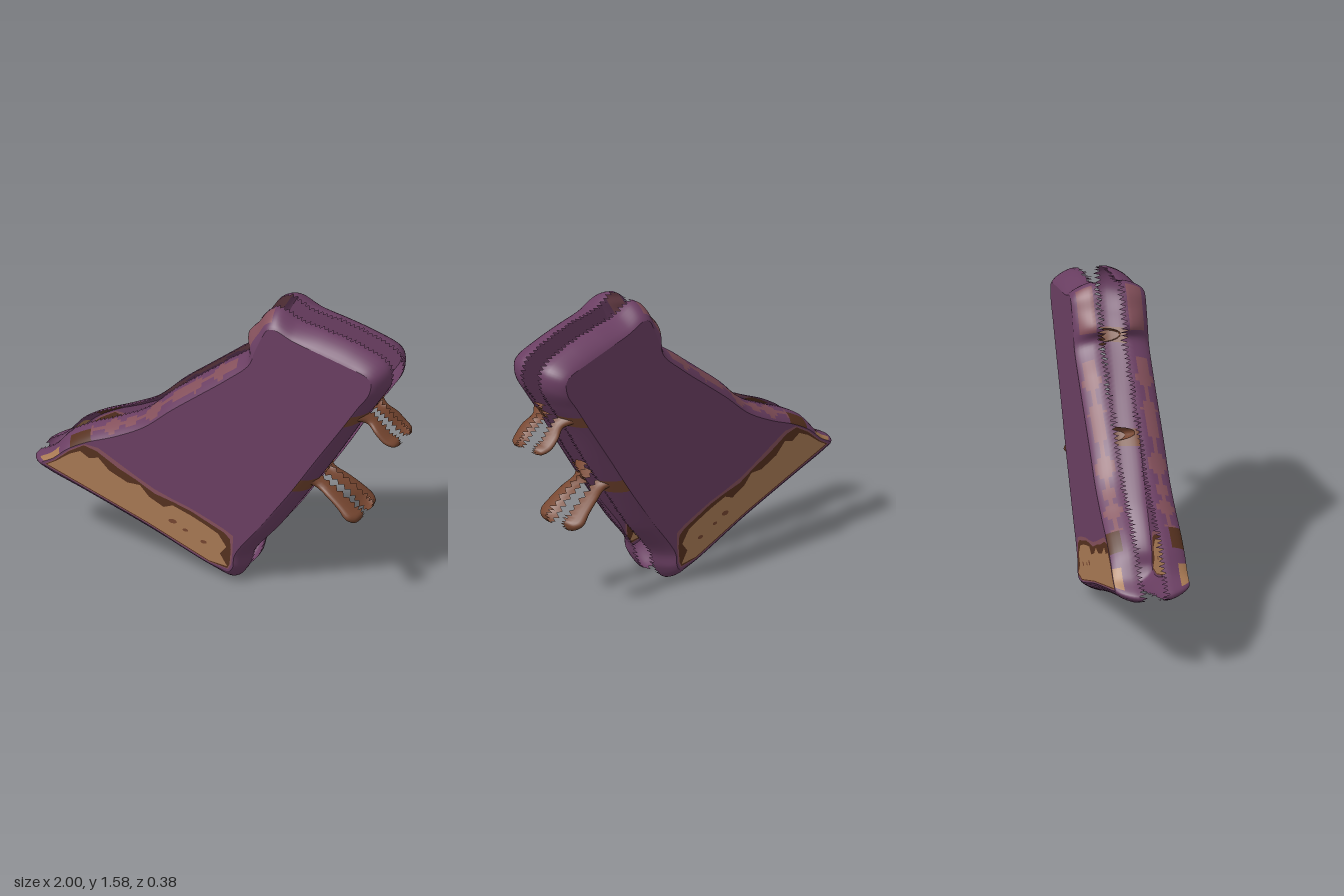
import * as THREE from 'three';

const mat = (name, color) => new THREE.MeshStandardMaterial({ name, color, side: THREE.DoubleSide });
const purple = mat('purple', 0x6b3f63);
const pink = mat('dusty pink', 0x84505b);
const dark = mat('dark brown', 0x56311f);
const tan = mat('bare tan', 0xa97a54);
const brown = mat('peg brown', 0x764630);
const sideMaterials = [purple, pink, dark, tan, brown];

// Rim outline and matching edge of the flat face: [rim x, rim y, face x, face y]
const OUTLINE = [
  [-1, .44, -.92, .46], [-.9, .51, -.86, .5], [-.81, .61, -.78, .57], [-.72, .67, -.68, .63],
  [-.55, .75, -.52, .7], [-.4, .83, -.36, .79], [-.25, .97, -.21, .92], [-.1, 1.09, -.06, 1.04],
  [.05, 1.21, .09, 1.16], [.19, 1.33, .22, 1.28], [.17, 1.4, .25, 1.36], [.23, 1.48, .29, 1.45],
  [.28, 1.55, .32, 1.5], [.34, 1.58, .36, 1.51], [.45, 1.53, .46, 1.47], [.62, 1.5, .61, 1.43],
  [.78, 1.46, .76, 1.39], [.92, 1.4, .86, 1.36], [.95, 1.36, .89, 1.33], [.95, 1.28, .88, 1.26],
  [.88, 1.16, .82, 1.17], [.79, 1.03, .73, 1.03], [.65, .8, .59, .82], [.5, .57, .44, .59],
  [.35, .35, .29, .38], [.2, .16, .14, .17], [.17, .07, .13, .1], [.11, 0, .11, .075],
  [.03, .03, .02, .09], [-.35, .18, -.34, .24], [-.7, .31, -.69, .37], [-.93, .39, -.88, .44],
];

// Nested worn areas of the flat face, each lying inside the one before
const PINK = [[-.905, .459], [-.85, .495], [-.77, .57], [-.685, .62], [-.61, .615], [-.5, .555], [-.4, .5],
  [-.3, .45], [-.2, .415], [-.1, .385], [0, .345], [.08, .31], [.132, .28], [.13, .2], [.122, .115],
  [.105, .085], [0, .103], [-.34, .246], [-.69, .376], [-.875, .444]];
const DARK = [[-.9, .459], [-.85, .49], [-.77, .562], [-.69, .612], [-.62, .595], [-.5, .525], [-.4, .48],
  [-.3, .425], [-.2, .4], [-.1, .37], [0, .325], [.08, .29], [.115, .26], [.12, .2], [.113, .115],
  [.1, .09], [0, .107], [-.34, .25], [-.69, .38], [-.87, .446]];
const TAN = [[-.89, .459], [-.84, .49], [-.77, .545], [-.71, .575], [-.66, .545], [-.61, .56], [-.55, .5],
  [-.45, .455], [-.38, .455], [-.33, .4], [-.25, .36], [-.2, .38], [-.1, .345], [-.02, .31], [.05, .275],
  [.095, .21], [.06, .165], [.1, .1], [0, .112], [-.34, .255], [-.69, .385], [-.865, .45]];

// Small seeded generator for the ragged teeth
let seed = 7;
const rand = () => (seed = (seed * 16807) % 2147483647) / 2147483647;
const tooth = i => (i % 2 ? .068 + .012 * rand() : .036 + .014 * rand());

// Smooth sheet through a grid of points, with a material slot for each cell
function sheet(rows, cols, wrap, point, slot = () => 0) {
  const pos = [], buckets = sideMaterials.map(() => []);
  for (let i = 0; i < rows; i++) for (let j = 0; j < cols; j++) pos.push(...point(i, j));
  for (let i = 0; i < (wrap ? rows : rows - 1); i++) {
    const n = (i + 1) % rows;
    for (let j = 0; j < cols - 1; j++) {
      const a = i * cols + j, b = n * cols + j;
      buckets[slot(i, j)].push(a, a + 1, b, b, a + 1, b + 1);
    }
  }
  const g = new THREE.BufferGeometry();
  g.setAttribute('position', new THREE.Float32BufferAttribute(pos, 3));
  let start = 0;
  buckets.forEach((b, k) => { if (b.length) g.addGroup(start, b.length, k); start += b.length; });
  g.setIndex(buckets.flat());
  g.computeVertexNormals();
  return g;
}

function addMesh(parent, name, geometry, material) {
  const m = new THREE.Mesh(geometry, material);
  m.name = name;
  parent.add(m);
  return m;
}

// Flat ragged-wood peg half: stations are [x, y, half thickness, outer z]
function pegGeometry(stations) {
  const curve = new THREE.CatmullRomCurve3(stations.map(s => new THREE.Vector3(s[0], s[1], s[2])));
  const depth = new THREE.SplineCurve(stations.map((s, i) => new THREE.Vector2(i, s[3])));
  const rows = 25, cols = 11;
  return sheet(rows, cols, false, (i, j) => {
    const t = i / (rows - 1), p = curve.getPoint(t), d = curve.getTangent(t);
    const len = Math.hypot(d.x, d.y) || 1, a = Math.PI * j / (cols - 1);
    const base = tooth(i), edge = j === 0 || j === cols - 1;
    const off = Math.max(p.z, .002) * Math.cos(a);
    const z = edge ? base : .055 + (depth.getPoint(t).y - .055) * Math.sin(a);
    return [p.x - d.y / len * off, p.y + d.x / len * off, z];
  });
}

function createHalf() {
  const half = new THREE.Group();
  const loop = k => new THREE.CatmullRomCurve3(
    OUTLINE.map(p => new THREE.Vector3(p[k], p[k + 1], 0)), true, 'centripetal');
  const rim = loop(0), face = loop(2), N = 420;
  const outer = [], inner = [];
  for (let i = 0; i < N; i++) {
    const t = rim.getUtoTmapping(i / N);
    outer.push(rim.getPoint(t));
    inner.push(face.getPoint(t));
  }

  // Rounded side wall ending in a ragged rim: [inset fraction, z]
  const rings = [[0, 0], [0, .085], [.1, .105], [.22, .125], [.38, .145], [.58, .165], [.8, .181], [1, .19]];
  const slot = (i, j) => {
    const { x, y } = outer[i], z = rings[j][1];
    const upperLeft = y > .6 * x + .8;
    const wave = Math.sin(x * 31) + Math.sin(x * 53 + 1);
    if (Math.hypot(x - .54, y - .64) < .045 || Math.hypot(x - .82, y - 1.08) < .035) return 4;
    if (x < -.86 && y > .46 && z > .13) return 3;
    if (x > -.8 && x < -.69 && y > .58 && z > .12) return 2;
    if (upperLeft && x > -.69 && x < .12 && z > .1 - .012 * wave && z < .15 + .012 * wave) return 1;
    if (x > .15 && x < .31 && y > 1.38 && z > .07 && z < .15) return 1;
    return 0;
  };
  const wall = sheet(N, rings.length, true, (i, j) => {
    const [s, z] = rings[j], p = outer[i].clone().lerp(inner[i], s);
    return [p.x, p.y, j ? z : tooth(i)];
  }, slot);
  addMesh(half, 'sideWall', wall, sideMaterials);

  // Flat face, with each worn area filling the opening in the one around it
  const toPoints = list => list.map(p => new THREE.Vector2(p[0], p[1]));
  const knots = [[-.03, .21, .014], [-.2, .29, .018], [-.13, .255, .012]].map(([x, y, r]) =>
    Array.from({ length: 10 }, (_, k) => {
      const a = k / 10 * Math.PI * 2;
      return new THREE.Vector2(x + r * 1.3 * Math.cos(a), y + r * .7 * Math.sin(a));
    }));
  const areas = [inner.map(p => new THREE.Vector2(p.x, p.y)), toPoints(PINK), toPoints(DARK), toPoints(TAN)];
  const names = ['facePanel', 'wornEdge', 'splinteredEdge', 'bareWood'];
  [purple, pink, dark, tan].forEach((m, k) => {
    const shape = new THREE.Shape(areas[k]);
    const openings = k < 3 ? [areas[k + 1]] : knots;
    openings.forEach(o => shape.holes.push(new THREE.Path(o)));
    addMesh(half, names[k], new THREE.ShapeGeometry(shape), m).position.z = .19;
  });
  knots.forEach(k => {
    addMesh(half, 'knot', new THREE.ShapeGeometry(new THREE.Shape(k)), brown).position.z = .19;
  });

  // Pegs on the right edge
  addMesh(half, 'lowerPeg', pegGeometry([[.49, .67, .035, .17], [.55, .63, .03, .11], [.62, .59, .026, .125],
    [.69, .54, .028, .14], [.74, .495, .035, .15], [.775, .475, .03, .12], [.785, .47, .002, .08]]), brown);
  addMesh(half, 'upperPeg', pegGeometry([[.79, 1.08, .035, .15], [.84, 1.05, .026, .11], [.89, 1.01, .022, .13],
    [.94, .965, .024, .13], [.98, .945, .02, .11], [.995, .938, .002, .08]]), brown);
  return half;
}

export function createModel() {
  const model = new THREE.Group();
  const front = createHalf();
  front.name = 'frontHalf';
  const back = front.clone();
  back.name = 'backHalf';
  back.scale.z = -1;
  model.add(front, back);
  return model;
}
